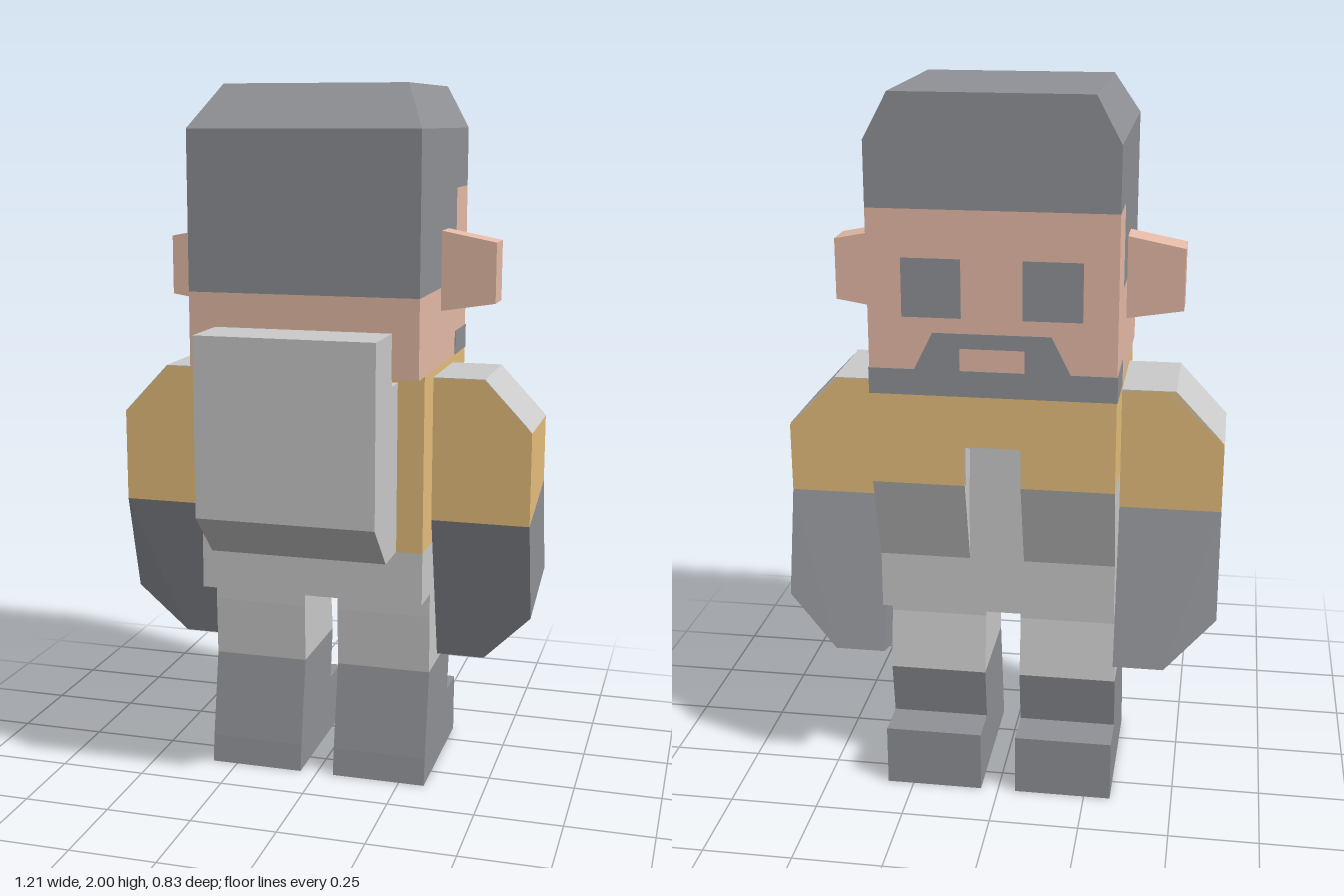
import * as THREE from 'three';
import { ConvexGeometry } from 'three/addons/geometries/ConvexGeometry.js';

const material = (color) => new THREE.MeshStandardMaterial({ color, flatShading: true });

export function createModel() {
  const model = new THREE.Group();
  const grey = material(0xcccccc);
  const dark = material(0x909297);
  const tan = material(0xe7c07d);
  const skin = material(0xe7bca8);

  function add(name, geometry, mat) {
    const mesh = new THREE.Mesh(geometry, mat);
    mesh.name = name;
    model.add(mesh);
    return mesh;
  }
  // box given by its limits on each axis
  function box(name, mat, x0, x1, y0, y1, z0, z1) {
    const g = new THREE.BoxGeometry(x1 - x0, y1 - y0, z1 - z0);
    g.translate((x0 + x1) / 2, (y0 + y1) / 2, (z0 + z1) / 2);
    return add(name, g, mat);
  }
  const shapeOf = (points) => new THREE.Shape(points.map(([a, b]) => new THREE.Vector2(a, b)));
  // side profile of [z, y] points, extruded from x0 to x1
  function profile(name, mat, points, x0, x1) {
    const g = new THREE.ExtrudeGeometry(shapeOf(points), { depth: x1 - x0, bevelEnabled: false });
    g.rotateY(-Math.PI / 2).translate(x1, 0, 0);
    return add(name, g, mat);
  }
  // convex solid around [x, y, z] corners, mirrored when side is -1
  function hull(name, mat, points, side = 1) {
    const corners = points.map(([x, y, z]) => new THREE.Vector3(x * side, y, z));
    return add(name, new ConvexGeometry(corners), mat);
  }
  // the same part on both sides
  function boxPair(name, mat, x0, x1, ...rest) {
    box(name, mat, x0, x1, ...rest);
    box(name, mat, -x1, -x0, ...rest);
  }
  function profilePair(name, mat, points, x0, x1) {
    profile(name, mat, points, x0, x1);
    profile(name, mat, points, -x1, -x0);
  }

  const W = 0.325; // half width of head and body
  const FACE = -0.41;

  // head, hair and bevelled crown
  const hairline = [[0.24, 1.44], [-0.13, 1.44], [-0.13, 1.485], [-0.25, 1.485], [-0.25, 1.71], [FACE, 1.71]];
  profile('head', skin, [...hairline, [FACE, 1.22], [0.24, 1.22]], -W, W);
  profile('hair', dark, [...hairline, [FACE, 1.88], [0.24, 1.88]], -W, W);
  const crown = [];
  for (const s of [-1, 1]) {
    crown.push([s * W, 1.88, 0.24], [s * W, 1.88, FACE], [s * 0.26, 2, 0.115], [s * 0.26, 2, FACE]);
  }
  hull('crown', dark, crown);

  // face: eyes, moustache around the mouth, beard
  boxPair('eye', dark, 0.08, 0.235, 1.43, 1.585, FACE - 0.003, FACE + 0.01);
  const moustache = shapeOf([[-0.21, 1.28], [0.21, 1.28], [0.155, 1.39], [-0.155, 1.39]]);
  moustache.holes.push(shapeOf([[-0.085, 1.29], [-0.085, 1.35], [0.085, 1.35], [0.085, 1.29]]));
  const moustacheGeometry = new THREE.ExtrudeGeometry(moustache, { depth: 0.006, bevelEnabled: false });
  add('moustache', moustacheGeometry.translate(0, 0, FACE - 0.003), dark);
  box('beard', dark, -W - 0.002, W + 0.002, 1.22, 1.29, FACE - 0.003, -0.25);

  // torso core, split into coat and shirt
  profile('coat', tan, [[0.165, 1.22], [0.165, 0.72], [-0.225, 0.72], [-0.225, 0.97], [-0.34, 0.97], [-0.34, 1.22]], -W, W);
  profile('shirt', grey, [[0.165, 0.72], [0.165, 0.57], [-0.34, 0.57], [-0.34, 0.97], [-0.225, 0.97], [-0.225, 0.72]], -W, W);

  // overhanging chest with a recessed slot in the middle
  boxPair('chest', tan, 0.075, W, 0.97, 1.22, FACE, -0.34);
  box('collar', tan, -0.075, 0.075, 1.08, 1.22, FACE, -0.34);
  profilePair('shirtFlap', grey, [[-0.34, 0.73], [FACE, 0.97], [-0.34, 0.97]], 0.075, W);
  box('slotBack', grey, -0.075, 0.075, 0.97, 1.08, -0.343, -0.335);
  boxPair('slotSide', grey, 0.072, 0.08, 0.97, 1.08, FACE + 0.001, -0.34);
  box('slotTop', grey, -0.075, 0.075, 1.077, 1.085, FACE + 0.001, -0.34);

  // backpack with a chamfered lower edge
  profile('backpack', grey, [[0.16, 0.72], [0.29, 0.72], [0.415, 0.845], [0.415, 1.345], [0.235, 1.345], [0.235, 1.2], [0.16, 1.2]], -0.25, 0.25);

  // arms and ears
  // section of an arm from the body to outer x, with [y, z] at both edges
  const section = (outer, [y0, z0], [y1, z1]) => [
    [W, y0, z0], [outer, y0, z0], [W, y1, z1], [outer, y1, z1],
  ];
  const elbow = section(0.605, [0.788, 0.05], [0.86, -0.225]);
  for (const side of [1, -1]) {
    hull('upperArm', tan, [
      ...section(0.47, [1.198, 0.05], [1.198, -0.225]),
      ...section(0.605, [1.055, 0.05], [1.055, -0.225]),
      ...elbow,
    ], side);
    hull('forearm', dark, [
      ...elbow,
      ...section(0.605, [0.495, -0.025], [0.568, -0.3]),
      ...section(0.465, [0.35, -0.06], [0.425, -0.34]),
    ], side);
    // pale covering on the shoulder top and its chamfer
    hull('shoulderTop', grey, [
      ...section(0.47, [1.196, 0.05], [1.196, -0.225]),
      ...section(0.471, [1.2, 0.05], [1.2, -0.225]),
    ], side);
    hull('shoulderSlope', grey, [
      ...section(0.471, [1.2, 0.05], [1.2, -0.225]),
      ...section(0.606, [1.056, 0.05], [1.056, -0.225]),
    ].filter(([x]) => x > W).concat([[0.46, 1.19, 0.05], [0.46, 1.19, -0.225]]), side);

    const ear = [];
    for (const z of [-0.038, -0.138]) {
      ear.push([W, 1.375, z], [W, 1.6, z], [0.48, 1.4, z], [0.48, 1.57, z]);
    }
    hull('ear', skin, ear, side);
  }

  // legs and boots
  profilePair('leg', grey, [[0.055, 0.58], [0.055, 0.5], [0.05, 0.33], [-0.25, 0.33], [-0.225, 0.5], [-0.225, 0.58]], 0.05, W);
  profilePair('boot', dark, [[0.05, 0.33], [0.095, 0.08], [0.105, 0], [-0.34, 0], [-0.34, 0.175], [-0.225, 0.175], [-0.25, 0.33]], 0.05, W);

  return model;
}
